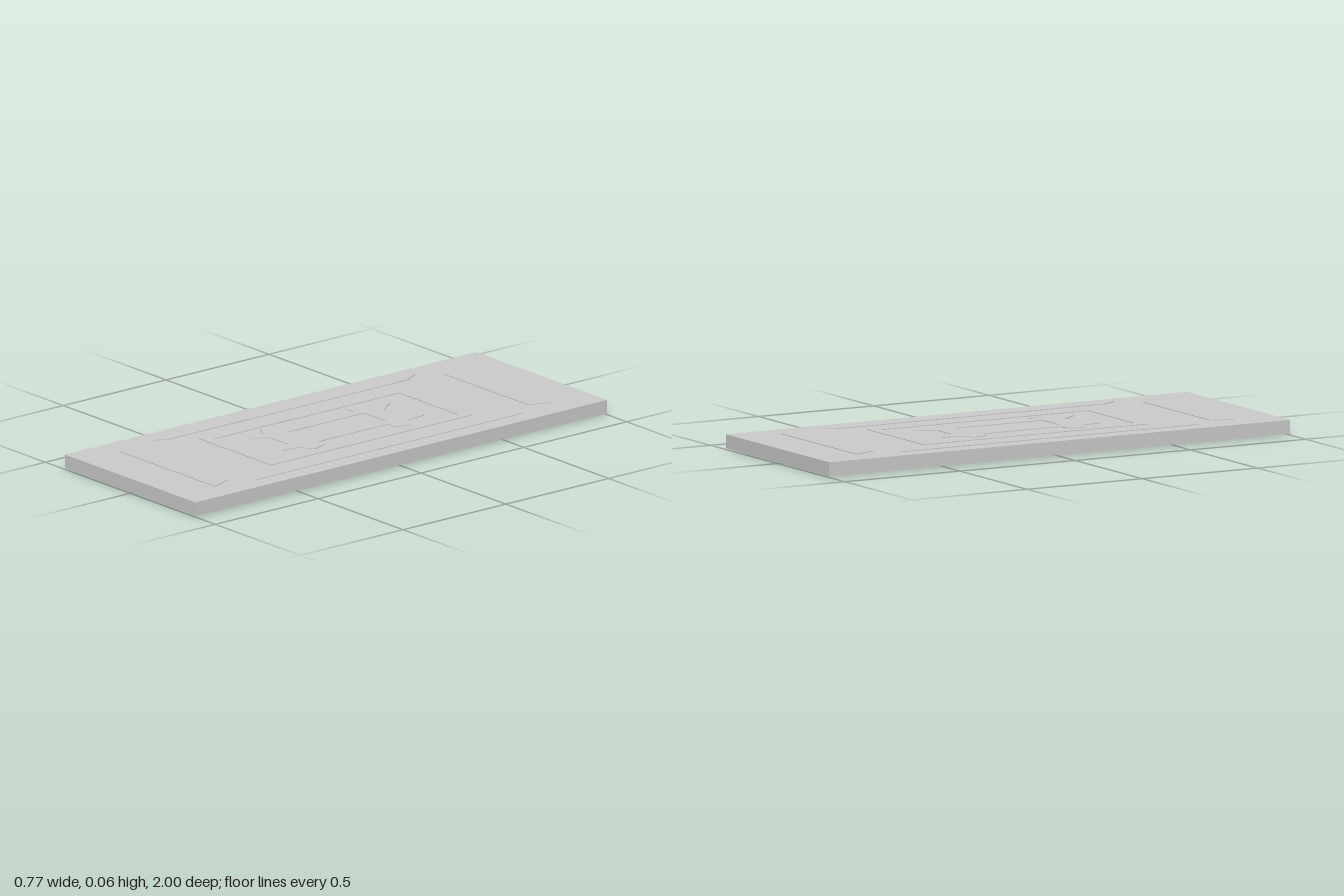
import * as THREE from 'three';

const material = new THREE.MeshStandardMaterial({ color: 0xcccccc, flatShading: true, side: THREE.DoubleSide });
const toVectors = (points) => points.map(([x, z]) => new THREE.Vector2(x, z));
const rectangle = (w, d) => [[-w, -d], [w, -d], [w, d], [-w, d]];

// Upright shell over a plan outline: walls and a top, open underneath
function shell(name, outline, bottom, top, hole) {
  const shape = new THREE.Shape(toVectors(outline));
  if (hole) shape.holes.push(new THREE.Path(toVectors(hole)));
  const extruded = new THREE.ExtrudeGeometry(shape, { depth: top - bottom, bevelEnabled: false });
  // The first half of the cap group is the lower cap, which is left out
  const skip = extruded.groups[0].count / 2;
  const geometry = new THREE.BufferGeometry();
  geometry.setAttribute('position',
    new THREE.BufferAttribute(extruded.attributes.position.array.slice(skip * 3), 3));
  geometry.rotateX(-Math.PI / 2);
  geometry.translate(0, bottom, 0);
  geometry.computeVertexNormals();
  const mesh = new THREE.Mesh(geometry, material);
  mesh.name = name;
  return mesh;
}

export function createModel() {
  const group = new THREE.Group();
  group.name = 'ornamentedSlab';
  const reliefTop = 0.061;

  // Main slab
  group.add(shell('slab', rectangle(0.385, 1), 0.005, 0.058));

  // Mitred border bars along the ends and the sides
  for (const s of [1, -1]) {
    const end = [[-0.28, 0.82], [0.28, 0.82], [0.25, 0.73], [-0.25, 0.73]];
    const side = [[0.315, -0.645], [0.315, 0.645], [0.28, 0.58], [0.28, -0.58]];
    group.add(shell(s > 0 ? 'backBar' : 'frontBar', end.map(([x, z]) => [x, z * s]), 0, reliefTop));
    group.add(shell(s > 0 ? 'leftBar' : 'rightBar', side.map(([x, z]) => [x * s, z]), 0, reliefTop));
  }

  // Rectangular frame around the centre
  group.add(shell('innerFrame', rectangle(0.21, 0.49), 0, reliefTop, rectangle(0.175, 0.45)));

  // Central ornament: one quarter mirrored into a horned window frame
  const quarter = [[0.1, 0.17], [0.14, 0.17], [0.16, 0.235], [0.105, 0.268], [0.1, 0.345], [0.05, 0.275]];
  const half = [...quarter, ...quarter.map(([x, z]) => [-x, z]).reverse()];
  const outline = [...half, ...half.map(([x, z]) => [-x, -z])];
  group.add(shell('centralOrnament', outline, 0, reliefTop, rectangle(0.065, 0.19)));

  return group;
}
